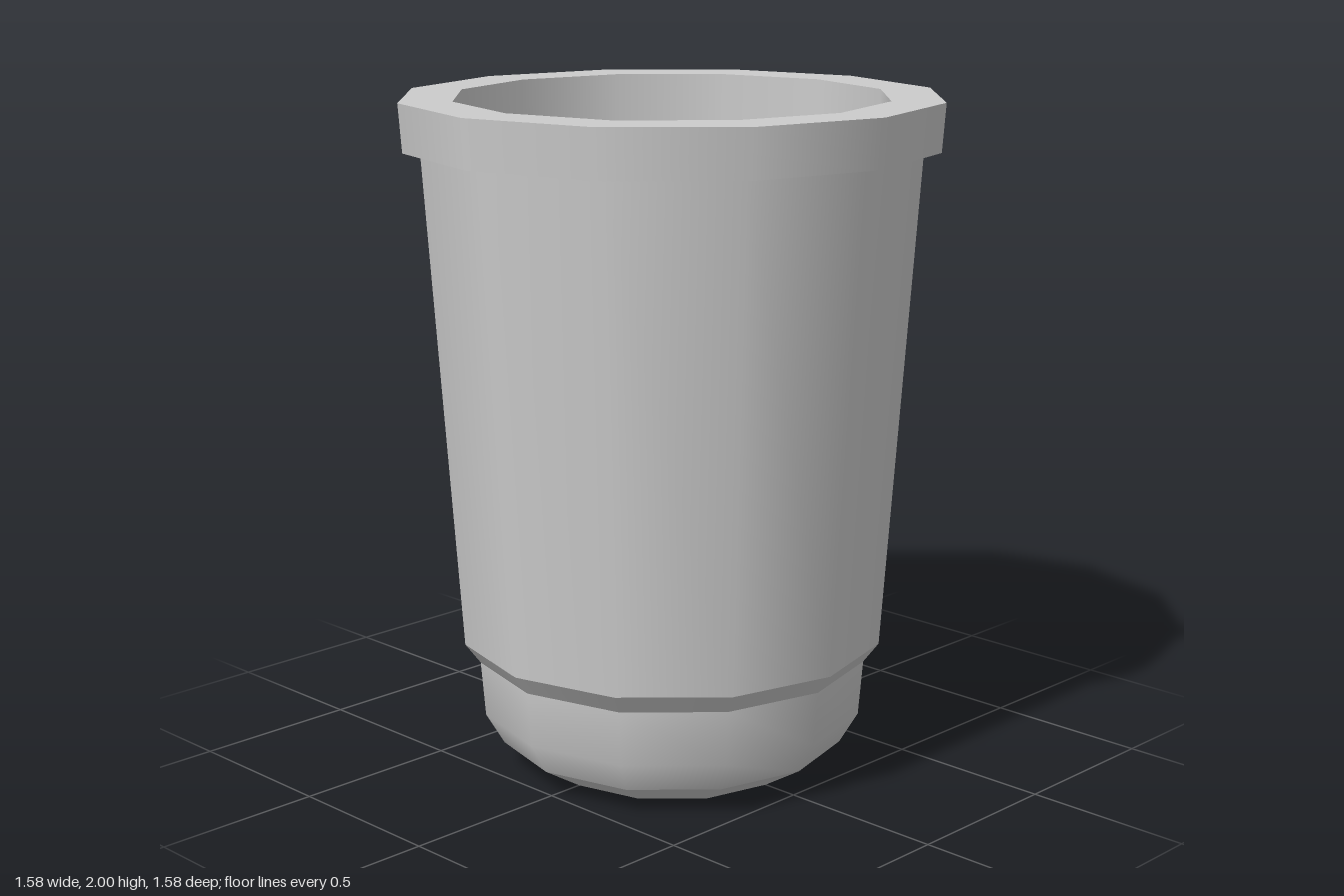
import * as THREE from 'three';

const material = new THREE.MeshStandardMaterial({ color: 0xcccccc });
const SIDES = 12;
const BALL_RADIUS = 0.183;

// One smooth band of the cup; bands are separate so the edges between them stay sharp.
function band(name, profile) {
  const points = profile.map(([r, y]) => new THREE.Vector2(r, y));
  const mesh = new THREE.Mesh(new THREE.LatheGeometry(points, SIDES), material);
  mesh.name = name;
  return mesh;
}

export function createModel() {
  const model = new THREE.Group();
  model.name = 'cupOfBalls';

  // Cup shell, from the centre of the base, up the outside and down the inside.
  const cup = new THREE.Group();
  cup.name = 'cup';
  const floorY = 1.06;
  cup.add(
    band('base', [[0, 0], [0.39, 0]]),
    band('baseChamfer', [[0.39, 0], [0.52, 0.08]]),
    band('foot', [[0.52, 0.08], [0.575, 0.175], [0.588, 0.34]]),
    band('step', [[0.588, 0.34], [0.633, 0.4]]),
    band('body', [[0.633, 0.4], [0.73, 1.86]]),
    band('rimUnderside', [[0.73, 1.86], [0.78, 1.86]]),
    band('rimSide', [[0.78, 1.86], [0.79, 2]]),
    band('rimTop', [[0.79, 2], [0.635, 2]]),
    band('innerWall', [[0.635, 2], [0.622, floorY]]),
    band('innerFloor', [[0.622, floorY], [0, floorY]])
  );
  model.add(cup);

  // Balls piled inside the cup.
  const balls = new THREE.Group();
  balls.name = 'balls';
  const ballGeometry = new THREE.SphereGeometry(BALL_RADIUS, 10, 8);
  function addBall(name, x, y, z) {
    const ball = new THREE.Mesh(ballGeometry, material);
    ball.name = name;
    ball.position.set(x, y, z);
    ball.rotation.set(-0.35, x * 2, 0);
    balls.add(ball);
  }

  // Lower layer: a ring of five around one in the middle.
  const lowerY = floorY + BALL_RADIUS;
  addBall('centreBall', 0, lowerY, 0);
  for (let i = 0; i < 5; i++) {
    const a = (i / 5) * Math.PI * 2;
    addBall('lowerBall' + i, 0.32 * Math.sin(a), lowerY, 0.32 * Math.cos(a));
  }

  // Upper layer: five loosely settled balls.
  const upper = [[-0.07, -0.3], [-0.32, -0.03], [0.27, -0.09], [-0.15, 0.28], [0.22, 0.225]];
  upper.forEach(([x, z], i) => addBall('upperBall' + i, x, 1.57, z));
  model.add(balls);

  return model;
}
